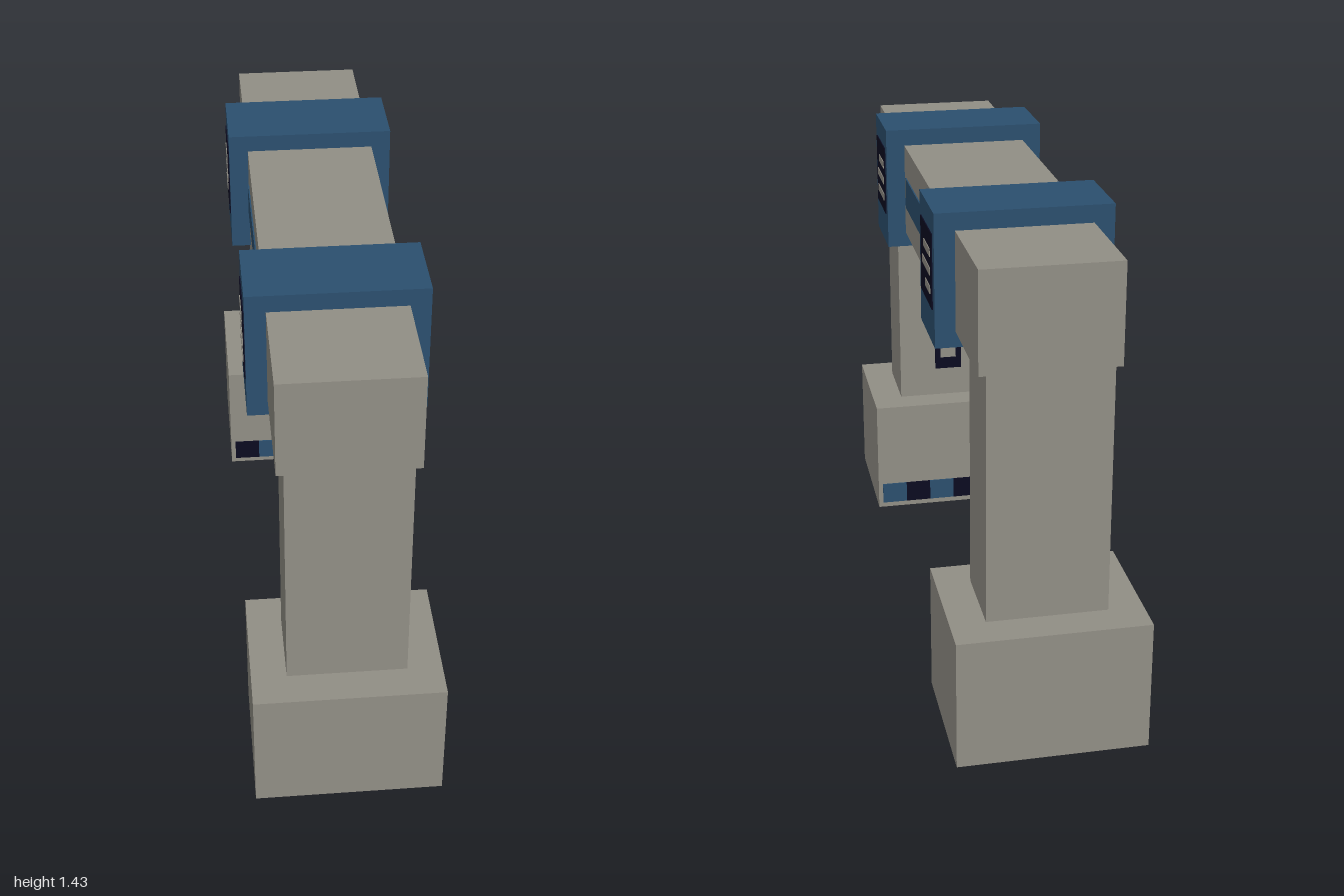
import * as THREE from 'three';

export function createModel() {
  const mat = (name, color, side = THREE.FrontSide) => {
    const m = new THREE.MeshStandardMaterial({ color, side });
    m.name = name;
    return m;
  };
  const stone = mat('stone grey', 0x918e85, THREE.DoubleSide);
  const blue = mat('steel blue', 0x2b4f6e);
  const dark = mat('dark navy', 0x0b0a20);

  const model = new THREE.Group();
  model.name = 'archway';

  // Box given by its min and max on each axis
  const box = (parent, name, material, [x0, x1], [y0, y1], [z0, z1]) => {
    const mesh = new THREE.Mesh(new THREE.BoxGeometry(x1 - x0, y1 - y0, Math.abs(z1 - z0)), material);
    mesh.position.set((x0 + x1) / 2, (y0 + y1) / 2, (z0 + z1) / 2);
    mesh.name = name;
    parent.add(mesh);
    return mesh;
  };

  // Crossbeam with a blue stripe along each side
  box(model, 'beam', stone, [-0.19, 0.19], [1.1, 1.385], [-0.9, 0.9]);
  for (const s of [-1, 1]) {
    const x = s * 0.191;
    box(model, 'beamStripe', blue, [x - 0.003, x + 0.003], [1.194, 1.29], [-0.3, 0.3]);
  }

  // Vent slat lengths from top to bottom, front band and back band
  const slats = { '1': [0.097, 0.134, 0.134], '-1': [0.1, 0.125, 0.075] };

  for (const e of [1, -1]) {
    const end = new THREE.Group();
    end.name = e > 0 ? 'frontPillar' : 'backPillar';
    model.add(end);

    // Footing, open underneath
    const base = box(end, 'footing', stone, [-0.27, 0.27], [0, 0.385], [e * 0.58, e]);
    const index = Array.from(base.geometry.index.array);
    index.splice(18, 6);
    base.geometry.clearGroups();
    base.geometry.setIndex(index);

    // Leg
    box(end, 'leg', stone, [-0.17, 0.17], [0.385, 1.1], [e * 0.67, e * 0.9]);

    // Ladder of light squares on the inner face of the leg
    const zl = e * 0.669;
    box(end, 'ladderPanel', dark, [-0.046, 0.046], [0.485, 1.03], [zl - 0.003, zl + 0.003]);
    for (let i = 0; i < 4; i++) {
      const y = 0.527 + i * 0.128;
      box(end, 'ladderSquare', stone, [-0.027, 0.027], [y, y + 0.083], [zl - 0.005, zl + 0.005]);
    }

    // Checker strip on the inner face of the footing
    const zf = e * 0.579;
    for (let i = 0; i < 6; i++) {
      const x = -0.255 + i * 0.085;
      box(end, 'checker', i % 2 ? blue : dark, [x, x + 0.085], [0.018, 0.09], [zf - 0.003, zf + 0.003]);
    }

    // Blue band around the beam, with a dark panel underneath
    const zc = e * 0.455;
    box(end, 'band', blue, [-0.247, 0.247], [1.055, 1.435], [zc - 0.119, zc + 0.119]);
    box(end, 'bandUnderPanel', dark, [-0.13, 0.13], [1.051, 1.057], [zc - 0.09, zc + 0.09]);

    // Vents on both sides of the band
    for (const s of [-1, 1]) {
      const x = s * 0.247;
      box(end, 'vent', dark, [x - 0.003, x + 0.003], [1.157, 1.371], [zc - 0.091, zc + 0.091]);
      slats[e].forEach((length, i) => {
        const y = 1.312 - i * 0.053;
        const z = zc - 0.07;
        box(end, 'ventSlat', stone, [x - 0.005, x + 0.005], [y - 0.011, y + 0.011], [z, z + length]);
      });
    }
  }
  return model;
}
